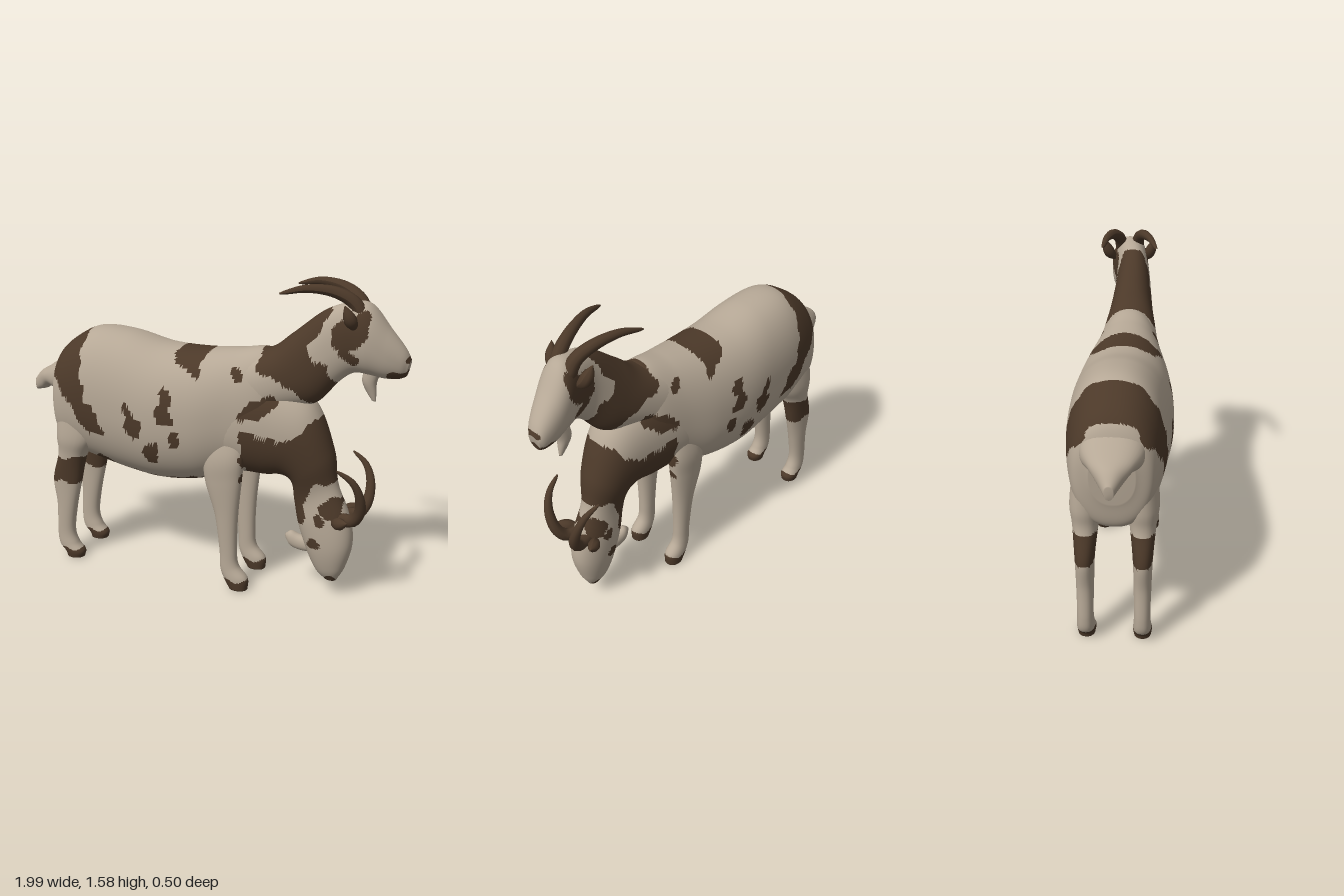
import * as THREE from 'three';

const coat = new THREE.MeshStandardMaterial({ color: 0xb6a896 });
coat.name = 'pale coat';
const brown = new THREE.MeshStandardMaterial({ color: 0x4c3929 });
brown.name = 'dark brown';

// Round coat spots: x, y, radius x, radius y, tilt
const spots = [
  [-0.12, 1.0, 0.035, 0.042, 0], [-0.125, 0.91, 0.045, 0.055, 0.2], [-0.32, 0.9, 0.025, 0.045, 0.2],
  [-0.29, 0.83, 0.05, 0.05, 0.5], [-0.07, 0.8, 0.028, 0.045, -0.4], [-0.2, 0.71, 0.04, 0.065, -0.4],
  [0.22, 1.14, 0.028, 0.03, 0], [0.33, 0.98, 0.1, 0.045, 0.55], [-0.52, 0.57, 0.06, 0.055, 0.5],
  [0.605, 0.295, 0.035, 0.03, 0], [0.69, 0.49, 0.05, 0.06, 0.6], [0.63, 0.43, 0.025, 0.03, 0],
  [0.68, 0.1, 0.03, 0.025, 0], [0.73, 1.36, 0.08, 0.07, 0.4], [0.78, 1.4, 0.05, 0.07, 0],
  [0.74, 1.26, 0.045, 0.03, -0.4], [0.97, 1.165, 0.06, 0.03, 0], [1.0, 1.245, 0.025, 0.018, 0],
];
// Large coat patches as x, y outlines
const patches = [
  [-0.79, 1.3, -0.62, 1.3, -0.61, 1.1, -0.57, 0.93, -0.5, 0.87, -0.47, 0.77, -0.57, 0.75, -0.69, 0.93, -0.79, 1.02],
  [-0.13, 1.3, 0.05, 1.3, 0.03, 1.11, -0.02, 1.12, -0.05, 1.15, -0.12, 1.19],
  [0.31, 1.17, 0.31, 1.3, 0.6, 1.52, 0.64, 1.47, 0.61, 1.36, 0.55, 1.32, 0.57, 1.22, 0.64, 1.22, 0.68, 1.1, 0.59, 0.99, 0.5, 1.07, 0.42, 1.12],
  [0.25, 0.87, 0.4, 0.83, 0.5, 0.84, 0.57, 0.93, 0.64, 0.93, 0.75, 0.75, 0.7, 0.62, 0.62, 0.62, 0.56, 0.54, 0.55, 0.4, 0.48, 0.34, 0.44, 0.6, 0.25, 0.6, 0.25, 0.7],
  [-0.36, 0.56, -0.2, 0.54, -0.06, 0.56, 0.05, 0.58, 0.06, 0.4, -0.36, 0.4],
  [-0.9, 0.43, -0.76, 0.45, -0.6, 0.43, -0.6, 0.59, -0.7, 0.6, -0.74, 0.57, -0.82, 0.59],
];

function inside(p, x, y) {
  let hit = false;
  for (let i = 0, j = p.length - 2; i < p.length; j = i, i += 2) {
    if ((p[i + 1] > y) !== (p[j + 1] > y) &&
        x < (p[j] - p[i]) * (y - p[i + 1]) / (p[j + 1] - p[i + 1]) + p[i]) hit = !hit;
  }
  return hit;
}

function isBrown(x, y) {
  // slight wobble keeps patch edges irregular
  const u = x + 0.008 * Math.sin(y * 55), v = y + 0.008 * Math.sin(x * 60);
  if (v < 0.055) return true;
  return patches.some(p => inside(p, u, v)) || spots.some(([cx, cy, rx, ry, a]) => {
    const dx = u - cx, dy = v - cy, c = Math.cos(a), s = Math.sin(a);
    return ((dx * c + dy * s) / rx) ** 2 + ((dy * c - dx * s) / ry) ** 2 < 1;
  });
}

// Smooth skin through sections: [x1, y1, x2, y2, half width, z]; the two points are opposite edges
function loft(name, sections, { steps = 14, sides = 56, power = 0.9, spotted = true, side = 1 } = {}) {
  const edge = pts => new THREE.CatmullRomCurve3(pts, false, 'catmullrom', 0.5);
  const first = edge(sections.map(s => new THREE.Vector3(s[0], s[1], (s[5] || 0) * side)));
  const second = edge(sections.map(s => new THREE.Vector3(s[2], s[3], s[4])));
  const n = (sections.length - 1) * steps, pos = [], light = [], dark = [];
  const bend = v => Math.sign(v) * Math.abs(v) ** power;
  const ends = [];
  for (let i = 0; i <= n; i++) {
    const a = first.getPoint(i / n), b = second.getPoint(i / n);
    const cx = (a.x + b.x) / 2, cy = (a.y + b.y) / 2;
    if (i === 0 || i === n) ends.push(cx, cy, a.z);
    for (let j = 0; j < sides; j++) {
      const t = j / sides * Math.PI * 2, c = bend(Math.cos(t));
      pos.push(cx + (a.x - cx) * c, cy + (a.y - cy) * c, a.z + b.z * bend(Math.sin(t)));
    }
  }
  const e = pos.length / 3;
  pos.push(...ends);
  const face = (...f) => {
    const mid = k => f.reduce((s, v) => s + pos[v * 3 + k], 0) / 3;
    (spotted && isBrown(mid(0), mid(1)) ? dark : light).push(...f);
  };
  for (let j = 0; j < sides; j++) {
    const k = (j + 1) % sides;
    for (let i = 0; i < n; i++) {
      const r = i * sides, q = r + sides;
      face(r + j, r + k, q + j);
      face(r + k, q + k, q + j);
    }
    face(e, k, j);
    face(e + 1, n * sides + j, n * sides + k);
  }
  const g = new THREE.BufferGeometry();
  g.setAttribute('position', new THREE.Float32BufferAttribute(pos, 3));
  g.setIndex([...light, ...dark]);
  g.computeVertexNormals();
  g.addGroup(0, light.length, 0);
  g.addGroup(light.length, dark.length, 1);
  const mesh = new THREE.Mesh(g, [coat, brown]);
  mesh.name = name;
  return mesh;
}

// Tube with a changing radius, for horns and ears
function taper(name, points, radius, material) {
  const curve = new THREE.CatmullRomCurve3(points.map(p => new THREE.Vector3(...p)));
  const n = 20, m = 10, g = new THREE.TubeGeometry(curve, n, 1, m);
  const p = g.attributes.position, v = new THREE.Vector3();
  for (let i = 0; i <= n; i++) {
    const c = curve.getPointAt(i / n);
    for (let j = 0; j <= m; j++) {
      const k = i * (m + 1) + j;
      v.fromBufferAttribute(p, k).sub(c).multiplyScalar(radius(i / n)).add(c);
      p.setXYZ(k, v.x, v.y, v.z);
    }
  }
  g.computeVertexNormals();
  const mesh = new THREE.Mesh(g, material);
  mesh.name = name;
  return mesh;
}

export function createModel() {
  const model = new THREE.Group();
  model.name = 'twoHeadedGoat';

  model.add(loft('body', [
    [-0.83, 1.03, -0.815, 0.76, 0.1], [-0.79, 1.14, -0.78, 0.63, 0.175], [-0.7, 1.22, -0.67, 0.59, 0.21],
    [-0.58, 1.275, -0.54, 0.56, 0.228], [-0.4, 1.268, -0.38, 0.53, 0.24], [-0.2, 1.225, -0.2, 0.515, 0.25],
    [0, 1.22, 0, 0.54, 0.232], [0.18, 1.235, 0.16, 0.6, 0.19], [0.34, 1.25, 0.32, 0.62, 0.15],
    [0.42, 1.15, 0.42, 0.7, 0.1],
  ], { sides: 80 }));

  model.add(loft('upperNeckAndHead', [
    [0.1, 1.21, 0.2, 0.8, 0.17], [0.33, 1.25, 0.42, 0.95, 0.135], [0.45, 1.335, 0.58, 1.01, 0.11],
    [0.6, 1.455, 0.68, 1.12, 0.09], [0.72, 1.5, 0.75, 1.17, 0.09, -0.015], [0.81, 1.495, 0.82, 1.165, 0.097, -0.03],
    [0.9, 1.385, 0.89, 1.15, 0.082, -0.048], [0.97, 1.295, 0.95, 1.15, 0.058, -0.065], [0.998, 1.24, 0.98, 1.16, 0.035, -0.075],
  ]));

  model.add(loft('lowerNeckAndHead', [
    [0.05, 1.1, 0.15, 0.65, 0.19], [0.22, 1.12, 0.22, 0.62, 0.18], [0.4, 1.1, 0.33, 0.61, 0.16],
    [0.57, 1.0, 0.42, 0.62, 0.138], [0.67, 0.77, 0.47, 0.59, 0.11], [0.7, 0.6, 0.485, 0.49, 0.08],
    [0.765, 0.44, 0.51, 0.37, 0.088], [0.785, 0.3, 0.56, 0.23, 0.083], [0.755, 0.17, 0.605, 0.14, 0.06],
    [0.715, 0.09, 0.65, 0.095, 0.03],
  ]));

  model.add(loft('tail', [
    [-0.995, 0.95, -0.99, 0.885, 0.02], [-0.95, 1.0, -0.93, 0.9, 0.055],
    [-0.89, 1.035, -0.87, 0.93, 0.1], [-0.81, 1.09, -0.8, 0.9, 0.14], [-0.72, 1.15, -0.72, 0.85, 0.15],
  ], { spotted: false, sides: 32 }));

  // Legs, mirrored
  for (const side of [1, -1]) {
    const word = side > 0 ? 'Left' : 'Right';
    model.add(loft('hindLeg' + word, [
      [-0.52, 0.85, -0.79, 0.85, 0.07, 0.12], [-0.57, 0.7, -0.795, 0.7, 0.075, 0.128], [-0.63, 0.6, -0.79, 0.6, 0.06, 0.13],
      [-0.665, 0.45, -0.83, 0.45, 0.046, 0.132], [-0.7, 0.3, -0.815, 0.3, 0.041, 0.132], [-0.72, 0.16, -0.82, 0.14, 0.038, 0.132],
      [-0.7, 0.085, -0.81, 0.07, 0.042, 0.132], [-0.665, 0.04, -0.775, 0.03, 0.045, 0.132], [-0.67, 0.004, -0.765, 0.002, 0.04, 0.132],
    ], { side, sides: 28, steps: 12 }));
    model.add(loft('frontLeg' + word, [
      [0.24, 0.88, 0.07, 0.86, 0.04, 0.11], [0.26, 0.73, 0.05, 0.7, 0.055, 0.135], [0.25, 0.6, 0.06, 0.57, 0.05, 0.138],
      [0.23, 0.4, 0.11, 0.4, 0.043, 0.133], [0.225, 0.22, 0.135, 0.21, 0.038, 0.13], [0.235, 0.13, 0.14, 0.11, 0.038, 0.13],
      [0.285, 0.065, 0.16, 0.055, 0.043, 0.13], [0.285, 0.005, 0.19, 0.003, 0.04, 0.13],
    ], { side, sides: 28, steps: 12 }));

    // Horns sweep back from each head
    const horn = t => 0.031 * (1 - t) ** 0.6 + 0.004;
    const up = -0.03;
    model.add(taper('upperHorn' + word, [
      [0.78, 1.44, up + side * 0.04], [0.74, 1.505, up + side * 0.05], [0.66, 1.55, up + side * 0.075],
      [0.54, 1.565, up * 0.7 + side * 0.11], [0.42, 1.54, up * 0.3 + side * 0.14],
    ], horn, brown));
    model.add(taper('lowerHorn' + word, [
      [0.71, 0.44, side * 0.03], [0.79, 0.445, side * 0.05], [0.83, 0.5, side * 0.07],
      [0.835, 0.6, side * 0.105], [0.8, 0.68, side * 0.13], [0.73, 0.73, side * 0.15],
    ], horn, brown));

    // Leaf-shaped ears
    const leaf = t => 0.03 * Math.sin(Math.PI * (0.12 + 0.87 * t));
    model.add(taper('upperEar' + word, [
      [0.76, 1.39, up + side * 0.075], [0.745, 1.43, up + side * 0.11], [0.72, 1.505, up + side * 0.135],
    ], leaf, brown));
    model.add(taper('lowerEar' + word, [
      [0.7, 0.43, side * 0.065], [0.74, 0.44, side * 0.1], [0.79, 0.465, side * 0.135],
    ], leaf, brown));
  }

  // Beards
  model.add(loft('upperBeard', [
    [0.87, 1.18, 0.79, 1.19, 0.035, -0.045], [0.85, 1.12, 0.78, 1.13, 0.032, -0.047],
    [0.85, 1.07, 0.8, 1.08, 0.02, -0.048], [0.85, 1.03, 0.83, 1.035, 0.008, -0.048],
  ], { spotted: false, sides: 20, steps: 6 }));
  model.add(loft('lowerBeard', [
    [0.44, 0.295, 0.445, 0.27, 0.012], [0.47, 0.315, 0.47, 0.235, 0.028],
    [0.52, 0.3, 0.52, 0.22, 0.032], [0.62, 0.3, 0.6, 0.22, 0.035],
  ], { spotted: false, sides: 20, steps: 6 }));

  return model;
}
